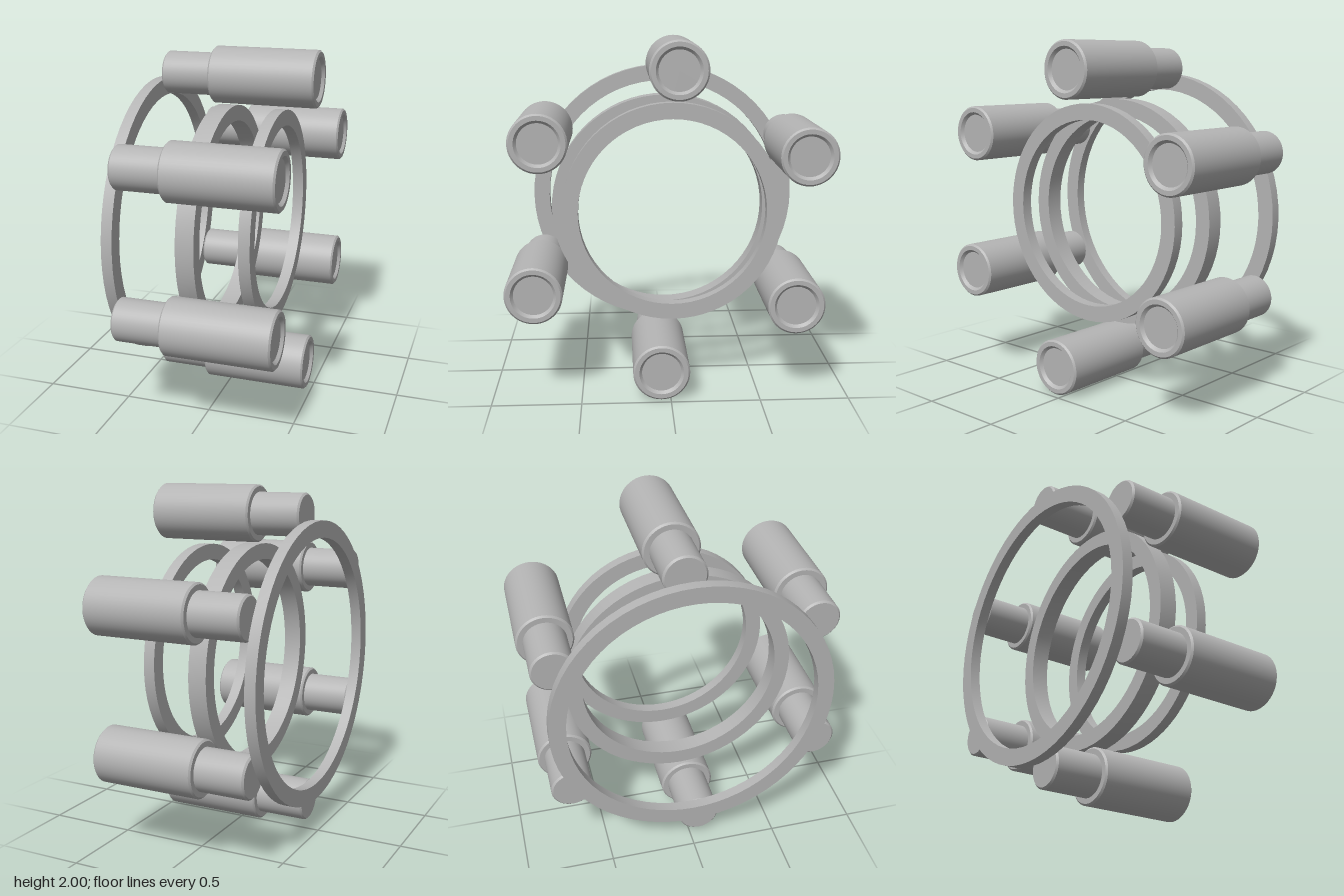
import * as THREE from 'three';
import { toCreasedNormals } from 'three/addons/utils/BufferGeometryUtils.js';

// Lathe around the x axis; profile points are [radius, x]
function turn(profile, segments) {
  const points = profile.map(([r, x]) => new THREE.Vector2(r, x));
  const geometry = new THREE.LatheGeometry(points, segments);
  geometry.rotateZ(-Math.PI / 2);
  return toCreasedNormals(geometry, 0.45);
}

// Flat hoop with a rectangular section
function hoop(inner, outer, x0, x1) {
  return turn([[inner, x0], [outer, x0], [outer, x1], [inner, x1], [inner, x0]], 64);
}

export function createModel() {
  const model = new THREE.Group();
  const grey = new THREE.MeshStandardMaterial({ color: 0xb4b4b4 });
  grey.name = 'plain grey';

  function add(name, geometry, y, z) {
    const mesh = new THREE.Mesh(geometry, grey);
    mesh.name = name;
    mesh.position.set(0, y, z);
    model.add(mesh);
  }

  // Three hoops
  add('largeRing', hoop(0.713, 0.808, -0.48, -0.418), 1.003, 0.002);
  add('middleRing', hoop(0.575, 0.665, -0.12, -0.015), 1.005, 0.008);
  add('smallRing', hoop(0.53, 0.62, 0.205, 0.27), 1.035, -0.02);

  // Stepped barrel: narrow neck, wide body, shallow recess in the end
  const barrel = turn([
    [0, -0.418], [0.11, -0.418], [0.12, -0.408], [0.12, -0.132],
    [0.15, -0.132], [0.16, -0.122], [0.16, 0.462], [0.15, 0.472],
    [0.125, 0.472], [0.11, 0.455], [0, 0.455],
  ], 48);

  // Barrel centres as [y, z]
  const centres = [
    [1.842, -0.043], [1.464, 0.706], [0.628, 0.753],
    [0.167, 0.052], [0.546, -0.698], [1.382, -0.746],
  ];
  centres.forEach(([y, z], i) => add(`barrel${i + 1}`, barrel, y, z));

  return model;
}
